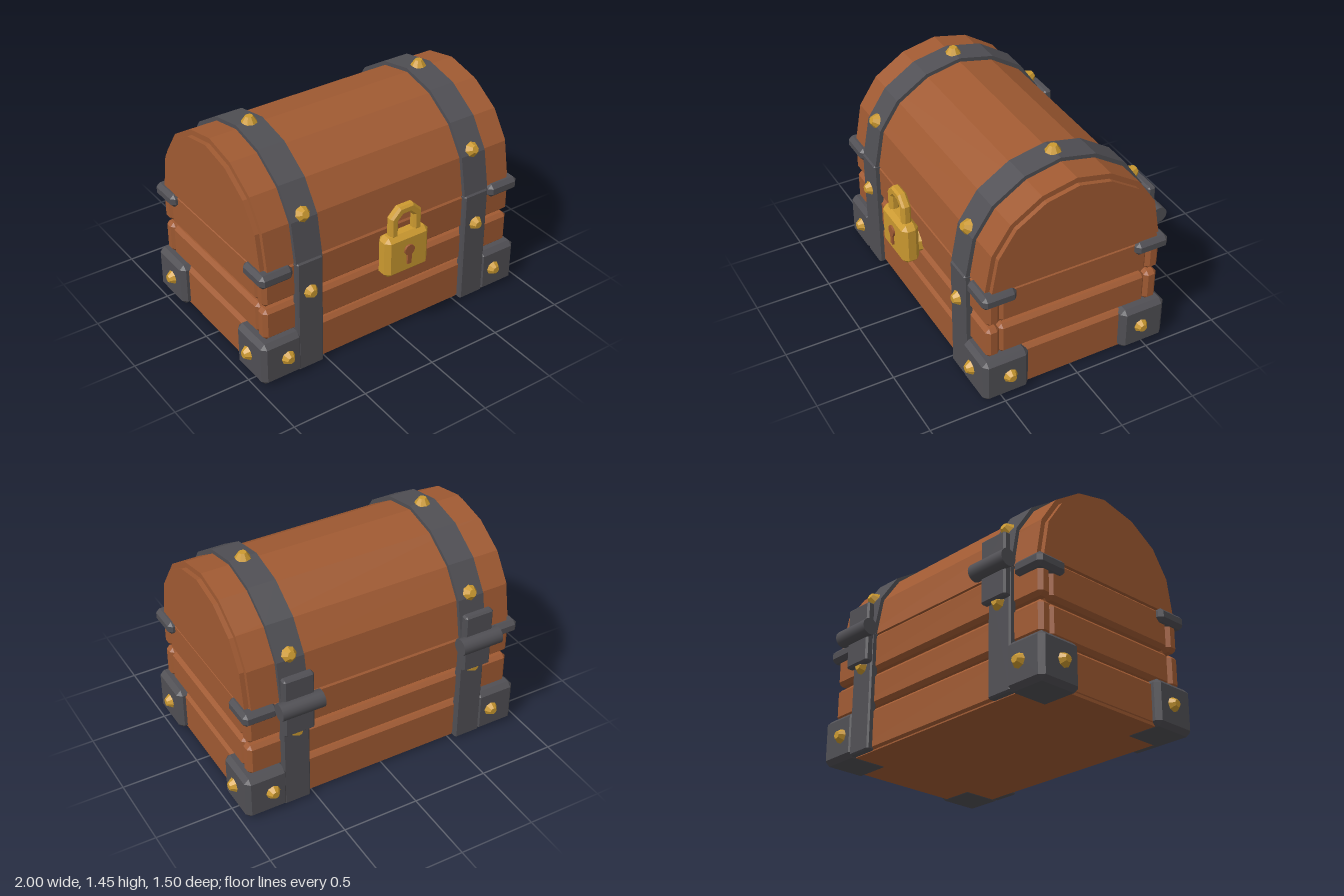
import * as THREE from 'three';
import { ConvexGeometry } from 'three/addons/geometries/ConvexGeometry.js';

const mat = (name, color) => {
  const m = new THREE.MeshStandardMaterial({ color });
  m.name = name;
  return m;
};

export function createModel() {
  const wood = mat('wood', 0xa05a32), iron = mat('iron', 0x504f54), gold = mat('gold', 0xcc9a30);
  const root = new THREE.Group();
  root.name = 'treasureChest';
  const chest = new THREE.Group();
  chest.name = 'chest';
  chest.position.z = -0.013;
  root.add(chest);

  const add = (name, geo, material, parent = chest) => {
    const m = new THREE.Mesh(geo, material);
    m.name = name;
    parent.add(m);
    return m;
  };

  // Box with chamfered edges, given by its limits
  const block = (x0, x1, y0, y1, z0, z1, c) => {
    const h = [(x1 - x0) / 2, (y1 - y0) / 2, (z1 - z0) / 2];
    const pts = [];
    for (const sx of [-1, 1]) for (const sy of [-1, 1]) for (const sz of [-1, 1])
      for (let a = 0; a < 3; a++) {
        const i = h.map((v, k) => (k === a ? v : v - c));
        pts.push(new THREE.Vector3(sx * i[0], sy * i[1], sz * i[2]));
      }
    return new ConvexGeometry(pts).translate((x0 + x1) / 2, (y0 + y1) / 2, (z0 + z1) / 2);
  };

  // Arched profile extruded along x
  const arch = (half, x0, x1) => {
    const pts = [...half, ...half.slice(0, -1).reverse().map(([z, y]) => [-z, y])];
    const shape = new THREE.Shape(pts.map(p => new THREE.Vector2(...p)));
    return new THREE.ExtrudeGeometry(shape, { depth: x1 - x0, bevelEnabled: false })
      .rotateY(Math.PI / 2).translate(x0, 0, 0);
  };

  // Faceted rivet pointing along a direction
  const studGeo = new THREE.CylinderGeometry(0.024, 0.05, 0.04, 8).toNonIndexed();
  studGeo.computeVertexNormals();
  const stud = (x, y, z, dx, dy, dz) => {
    const dir = new THREE.Vector3(dx, dy, dz).normalize();
    const m = add('stud', studGeo, gold);
    m.position.set(x, y, z).addScaledVector(dir, 0.016);
    m.quaternion.setFromUnitVectors(new THREE.Vector3(0, 1, 0), dir);
  };

  // Body: core and three rows of planks
  add('core', new THREE.BoxGeometry(1.72, 0.77, 1.07).translate(0, 0.395, 0), wood);
  for (const [y0, y1] of [[0.004, 0.285], [0.3, 0.515], [0.54, 0.79]]) {
    for (const s of [-1, 1]) {
      const z = [s * 0.5, s * 0.59].sort((a, b) => a - b);
      const x = [s * 0.8, s * 0.915].sort((a, b) => a - b);
      add('longPlank', block(-0.92, 0.92, y0, y1, z[0], z[1], 0.024), wood);
      add('endPlank', block(x[0], x[1], y0, y1, -0.505, 0.505, 0.024), wood);
    }
  }
  add('floor', new THREE.BoxGeometry(1.82, 0.02, 1.15).translate(0, 0.014, 0), wood);

  // Lid with raised end panels
  const lid = [[0.59, 0.785], [0.545, 1.035], [0.425, 1.213], [0.225, 1.342], [0, 1.39]];
  const panel = [[0.56, 0.785], [0.517, 1.02], [0.402, 1.19], [0.212, 1.31], [0, 1.355]];
  const band = [[0.617, 0.785], [0.568, 1.045], [0.443, 1.232], [0.235, 1.366], [0, 1.415]];
  add('lid', arch(lid, -0.89, 0.89), wood);
  add('lidEndPanels', arch(panel, -0.92, 0.92), wood);

  for (const sx of [-1, 1]) {
    const cx = sx * 0.62;
    const xs = (a, b) => (sx > 0 ? [a, b] : [-b, -a]);

    // Strap over the lid
    add('lidStrap', arch(band, cx - 0.09, cx + 0.09), iron);
    stud(cx, 1.415, 0, 0, 1, 0);

    for (const sz of [-1, 1]) {
      const zs = (a, b) => (sz > 0 ? [a, b] : [-b, -a]);

      // Upright strap and its rivets
      add('bodyStrap', block(cx - 0.09, cx + 0.09, 0.006, 0.79, ...zs(0.57, 0.626), 0.01), iron);
      stud(cx, 0.57, sz * 0.626, 0, 0, sz);
      stud(cx, 1.07, sz * 0.555, 0, 0.45, sz);

      // Bottom corner bracket
      add('cornerBracket', block(...xs(0.68, 0.965), 0, 0.3, ...zs(0.325, 0.634), 0.03), iron);
      stud(sx * 0.79, 0.155, sz * 0.634, 0, 0, sz);
      stud(sx * 0.964, 0.155, sz * 0.46, sx, 0, 0);

      // L-shaped corner clasp under the lid
      add('cornerClaspLong', block(...xs(0.73, 0.955), 0.7, 0.79, ...zs(0.54, 0.628), 0.025), iron);
      add('cornerClaspEnd', block(...xs(0.87, 0.955), 0.7, 0.79, ...zs(0.405, 0.628), 0.025), iron);
    }

    // Rear hinge: two leaves and a barrel
    add('hingeUpperLeaf', block(cx - 0.1, cx + 0.1, 0.79, 0.985, -0.675, -0.62, 0.012), iron);
    add('hingeLowerLeaf', block(cx - 0.1, cx + 0.1, 0.575, 0.79, -0.675, -0.62, 0.012), iron);
    const barrel = new THREE.CylinderGeometry(0.055, 0.055, 0.28, 16).rotateZ(Math.PI / 2);
    add('hingeBarrel', barrel.translate(cx, 0.79, -0.682), iron);
  }

  // Padlock
  const lock = new THREE.Group();
  lock.name = 'padlock';
  root.add(lock);
  add('lockBody', block(-0.16, 0.16, 0.518, 0.8, 0.625, 0.736, 0.03), gold, lock);
  const boss = new THREE.CylinderGeometry(0.065, 0.085, 0.07, 8).toNonIndexed();
  boss.computeVertexNormals();
  add('lockMount', boss.rotateY(Math.PI / 8).rotateX(Math.PI / 2).translate(0, 0.568, 0.605), gold, lock);

  // Shackle: angular arch with a matching opening
  const ring = (w, top, cut) => [[-w, 0.78], [w, 0.78], [w, top - cut], [w - cut, top], [-w + cut, top], [-w, top - cut]]
    .map(p => new THREE.Vector2(...p));
  const outer = ring(0.1, 0.97, 0.055), inner = ring(0.07, 0.94, 0.04);
  const shackle = new THREE.Shape([outer[1], ...outer.slice(2), outer[0], inner[0], ...inner.slice(2).reverse(), inner[1]]);
  add('shackle', new THREE.ExtrudeGeometry(shackle, {
    depth: 0.03, bevelThickness: 0.014, bevelSize: 0.013, bevelSegments: 1,
  }).translate(0, 0, 0.667), gold, lock);

  // Keyhole
  const hole = new THREE.CylinderGeometry(0.036, 0.036, 0.02, 10).rotateX(Math.PI / 2);
  add('keyholeRound', hole.translate(0, 0.69, 0.739), wood, lock);
  add('keyholeSlot', new THREE.BoxGeometry(0.03, 0.09, 0.018).translate(0, 0.637, 0.739), wood, lock);
  return root;
}
